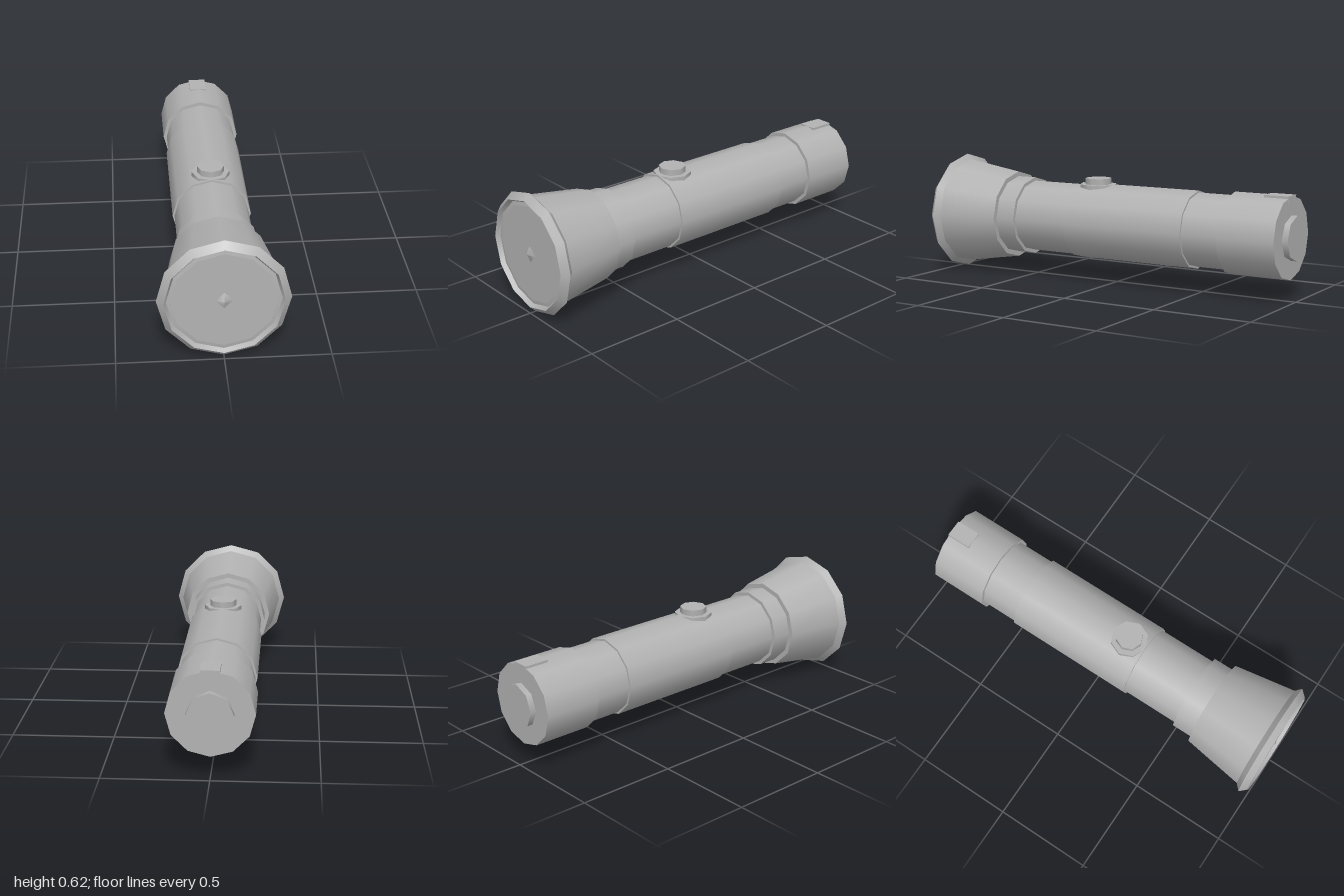
import * as THREE from 'three';
import { mergeGeometries } from 'three/addons/utils/BufferGeometryUtils.js';

const AXIS_Y = 0.31;

// Turns a [z, radius] profile about z: smooth around, with a hard edge at each point
function turned(profile, sides = 12) {
  const bands = [];
  for (let i = 0; i < profile.length - 1; i++) {
    const ends = [profile[i], profile[i + 1]].map(([z, r]) => new THREE.Vector2(r, z));
    bands.push(new THREE.LatheGeometry(ends, sides));
  }
  return mergeGeometries(bands).rotateX(Math.PI / 2);
}

export function createModel() {
  const model = new THREE.Group();
  model.name = 'flashlight';
  const metal = new THREE.MeshStandardMaterial({ color: 0xb2b2b2 });
  metal.name = 'grey metal';

  function add(name, geometry, x, y, z) {
    const mesh = new THREE.Mesh(geometry, metal);
    mesh.name = name;
    mesh.position.set(x, y, z);
    model.add(mesh);
  }
  const addTurned = (name, profile, sides) => add(name, turned(profile, sides), 0, AXIS_Y, 0);

  // Tail cap with its end button
  addTurned('tailCap', [[-0.97, 0], [-0.97, 0.205], [-0.67, 0.205], [-0.67, 0.18]]);
  addTurned('tailButton', [[-1, 0], [-1, 0.11], [-0.965, 0.11]], 8);

  // Barrel: rear neck, grip, front neck and collar
  addTurned('rearNeck', [[-0.68, 0.187], [-0.46, 0.187]]);
  addTurned('grip', [[-0.47, 0.18], [-0.47, 0.197], [0.21, 0.197], [0.21, 0.18]]);
  addTurned('frontNeck', [[0.2, 0.187], [0.52, 0.187]]);
  addTurned('collar', [[0.515, 0.18], [0.515, 0.205], [0.63, 0.205]]);

  // Flared head, bevelled rim and the recess inside it
  addTurned('head', [[0.623, 0.2], [0.623, 0.23], [0.94, 0.28]]);
  addTurned('rim', [[0.94, 0.28], [0.967, 0.309], [1, 0.277], [0.978, 0.264]]);

  // Lens with a shallow bevel, and the bulb point at its centre
  addTurned('lens', [[0.978, 0.264], [0.981, 0.245], [0.981, 0]]);
  addTurned('bulb', [[0.98, 0.044], [0.997, 0]], 4);

  // Switch on top of the grip
  add('switchBase', new THREE.CylinderGeometry(0.095, 0.095, 0.05, 8), 0, 0.479, 0.115);
  add('switchButton', new THREE.CylinderGeometry(0.068, 0.068, 0.06, 8), 0, 0.505, 0.115);

  // Small lug on top of the tail cap
  add('tailLug', new THREE.BoxGeometry(0.09, 0.04, 0.128), 0, 0.495, -0.908);

  return model;
}
